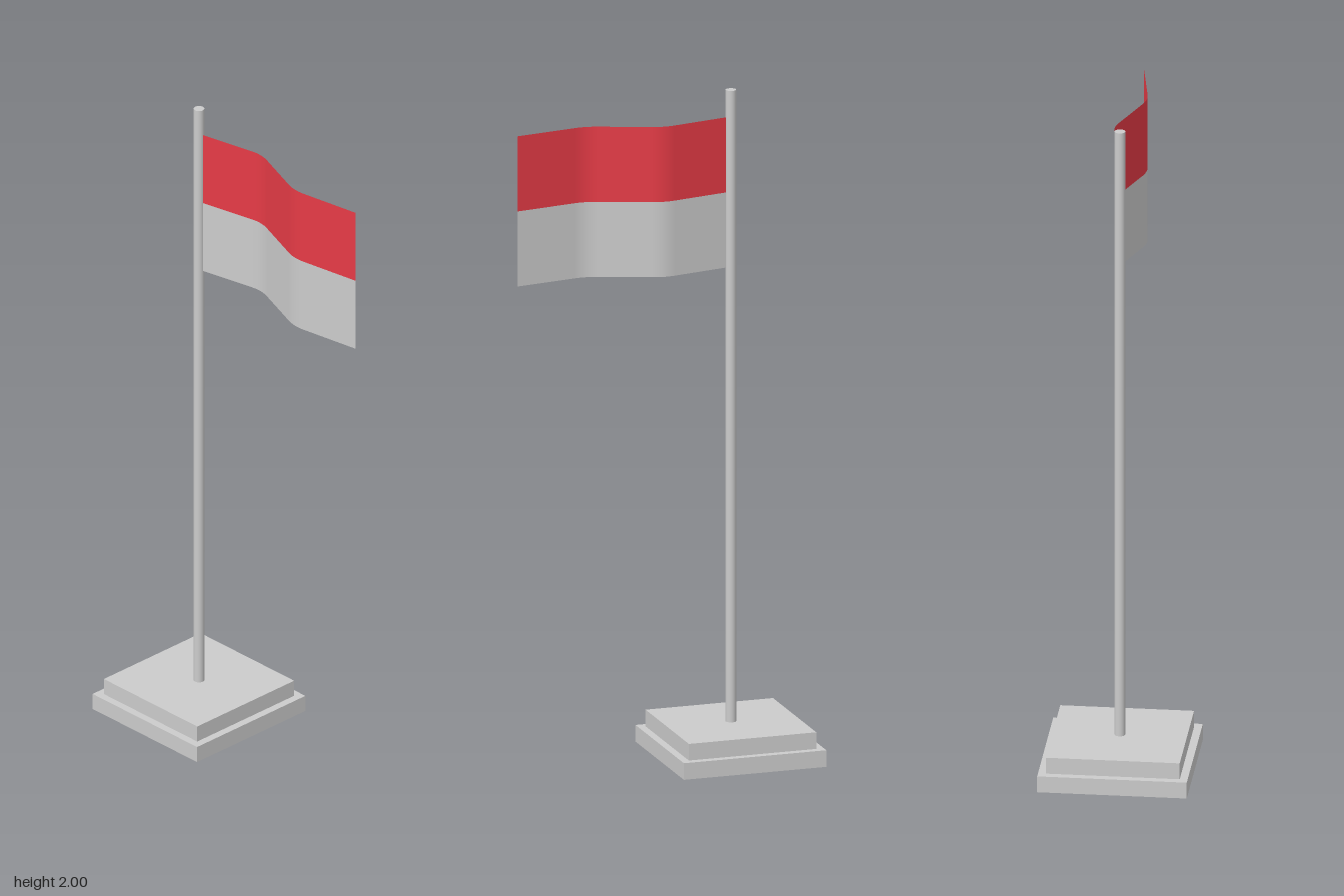
import * as THREE from 'three';

const grey = new THREE.MeshStandardMaterial({ color: 0xcccccc });
const clothGrey = new THREE.MeshStandardMaterial({ color: 0xcccccc, side: THREE.DoubleSide });
const clothRed = new THREE.MeshStandardMaterial({ color: 0xe63b46, side: THREE.DoubleSide });

const POLE_X = -0.218;

function add(group, name, geometry, material, x, y, z) {
  const mesh = new THREE.Mesh(geometry, material);
  mesh.name = name;
  mesh.position.set(x, y, z);
  group.add(mesh);
}

// Plan of the cloth: straight runs joined by rounded bends, as [x, z] points
function clothPath() {
  const corners = [[-0.205, 0], [0, -0.043], [0.215, 0.036], [0.435, 0]]
    .map(([x, z]) => new THREE.Vector2(x, z));
  const points = [corners[0]];
  for (let i = 1; i < corners.length - 1; i++) {
    const c = corners[i];
    const start = c.clone().lerp(corners[i - 1], 0.16);
    const end = c.clone().lerp(corners[i + 1], 0.16);
    points.push(...new THREE.QuadraticBezierCurve(start, c, end).getPoints(8));
  }
  points.push(corners[corners.length - 1]);
  return points;
}

// Vertical strip of cloth following the plan
function clothStrip(path, bottom, top) {
  const n = path.length - 1;
  const geometry = new THREE.PlaneGeometry(1, 1, n, 1);
  const pos = geometry.attributes.position;
  const normal = geometry.attributes.normal;
  for (let i = 0; i < pos.count; i++) {
    const k = i % (n + 1);
    const p = path[k];
    pos.setXYZ(i, p.x, i <= n ? top : bottom, p.y);
    // normal taken across the neighbouring points, kept flat on the straight runs
    const t = path[Math.min(k + 1, n)].clone().sub(path[Math.max(k - 1, 0)]);
    if (k === 1 || k === 10) t.copy(p).sub(path[k - 1]);
    if (k === 9 || k === 18) t.copy(path[k + 1]).sub(p);
    t.normalize();
    normal.setXYZ(i, -t.y, 0, t.x);
  }
  return geometry;
}

export function createModel() {
  const group = new THREE.Group();

  // Stepped base
  add(group, 'lowerBase', new THREE.BoxGeometry(0.436, 0.05, 0.436), grey, POLE_X, 0.025, 0);
  add(group, 'upperBase', new THREE.BoxGeometry(0.39, 0.05, 0.39), grey, POLE_X, 0.075, 0);

  // Pole
  add(group, 'pole', new THREE.CylinderGeometry(0.0155, 0.0155, 1.9, 32), grey, POLE_X, 1.05, 0);

  // Two-band flag
  const path = clothPath();
  add(group, 'upperFlagBand', clothStrip(path, 1.692, 1.918), clothRed, 0, 0, 0);
  add(group, 'lowerFlagBand', clothStrip(path, 1.466, 1.692), clothGrey, 0, 0, 0);

  return group;
}
